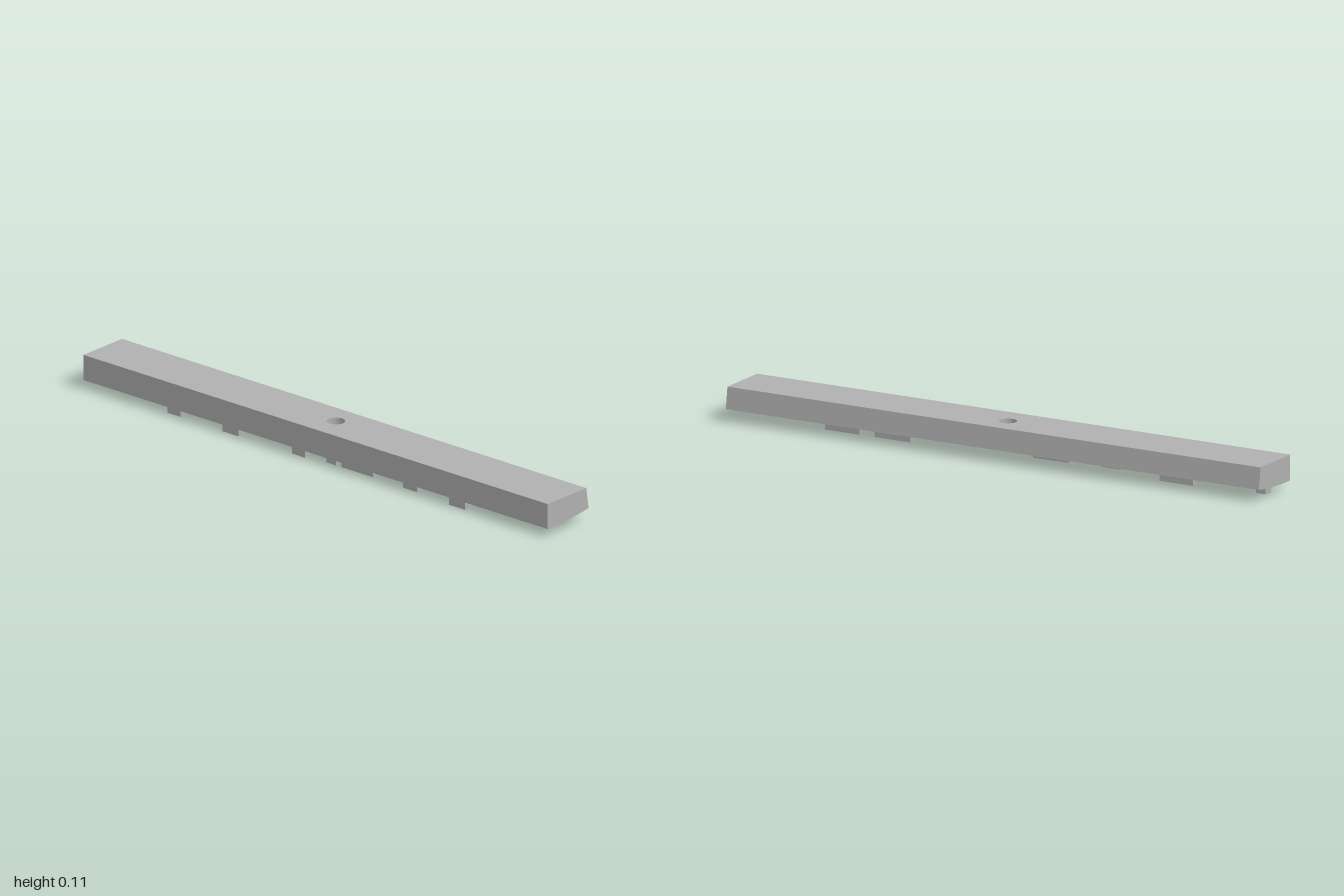
import * as THREE from 'three';

const RELIEF = 0.028;
// Curved underside of the bar
const underside = (x) => 0.028 + 0.014 * ((x + 0.1) / 0.2) ** 2;

// Bar with a round bore: one closed cross-section swept around the hole
function barGeometry() {
  const side = 14, radial = 10, count = side * 4, topY = 0.115, r = 0.03;
  const corners = [[0.1, -1], [0.1, 1], [-0.1, 1], [-0.1, -1]];
  const ring = radial + 3;
  const positions = [], index = [];
  for (let i = 0; i < count; i++) {
    const a = -Math.PI / 4 + (i / count) * Math.PI * 2;
    const hx = r * Math.cos(a), hz = r * Math.sin(a);
    const s = Math.floor(i / side), t = (i % side) / side;
    const p = corners[s], q = corners[(s + 1) % 4];
    const ox = p[0] + (q[0] - p[0]) * t, oz = p[1] + (q[1] - p[1]) * t;
    for (let j = 0; j <= radial; j++) {
      const k = j / radial;
      const x = hx + (ox - hx) * k;
      positions.push(x, underside(x), hz + (oz - hz) * k);
    }
    positions.push(ox > 0 ? ox * 0.89 : ox, topY, oz); // slanted long side
    positions.push(hx, topY, hz);
  }
  for (let i = 0; i < count; i++) {
    const n = ((i + 1) % count) * ring, m = i * ring;
    for (let j = 0; j < ring; j++) {
      const k = (j + 1) % ring;
      index.push(m + j, m + k, n + j, m + k, n + k, n + j);
    }
  }
  const geometry = new THREE.BufferGeometry();
  geometry.setAttribute('position', new THREE.Float32BufferAttribute(positions, 3));
  geometry.setIndex(index);
  const flat = geometry.toNonIndexed();
  flat.computeVertexNormals();
  return flat;
}

// Plain raised pad whose lower face follows the underside
function padGeometry(x0, x1, z0, z1) {
  const geometry = new THREE.BoxGeometry(x1 - x0, 1, z1 - z0, 5, 1, 1);
  geometry.translate((x0 + x1) / 2, 0, (z0 + z1) / 2);
  const p = geometry.attributes.position;
  for (let i = 0; i < p.count; i++) {
    const y = underside(p.getX(i));
    p.setY(i, p.getY(i) < 0 ? y - RELIEF : y + 0.006);
  }
  geometry.computeVertexNormals();
  return geometry;
}

export function createModel() {
  const model = new THREE.Group();
  const grey = new THREE.MeshStandardMaterial({ color: 0xb0b0b0 });
  grey.name = 'grey';

  const bar = new THREE.Mesh(barGeometry(), grey);
  bar.name = 'bar';
  model.add(bar);

  // Long ribs and small pads below the bar: x from, x to, z from, z to
  const pads = [
    [0.038, 0.053, -0.725, -0.6], [-0.085, 0.02, -0.65, -0.595],
    [-0.09, -0.02, -0.41, -0.34],
    [-0.02, -0.005, -0.225, -0.09], [-0.09, -0.04, -0.11, -0.055],
    [-0.075, -0.045, 0.025, 0.065],
    [-0.075, -0.06, 0.09, 0.225],
    [0.03, 0.045, 0.34, 0.475], [-0.08, 0.02, 0.36, 0.42],
    [0.03, 0.045, 0.53, 0.66], [-0.095, 0.01, 0.57, 0.64],
    [-0.02, 0.015, -0.975, -0.94],
  ];
  const relief = new THREE.Group();
  relief.name = 'undersidePads';
  for (const p of pads) {
    const pad = new THREE.Mesh(padGeometry(...p), grey);
    pad.name = 'pad';
    relief.add(pad);
  }
  model.add(relief);
  return model;
}
